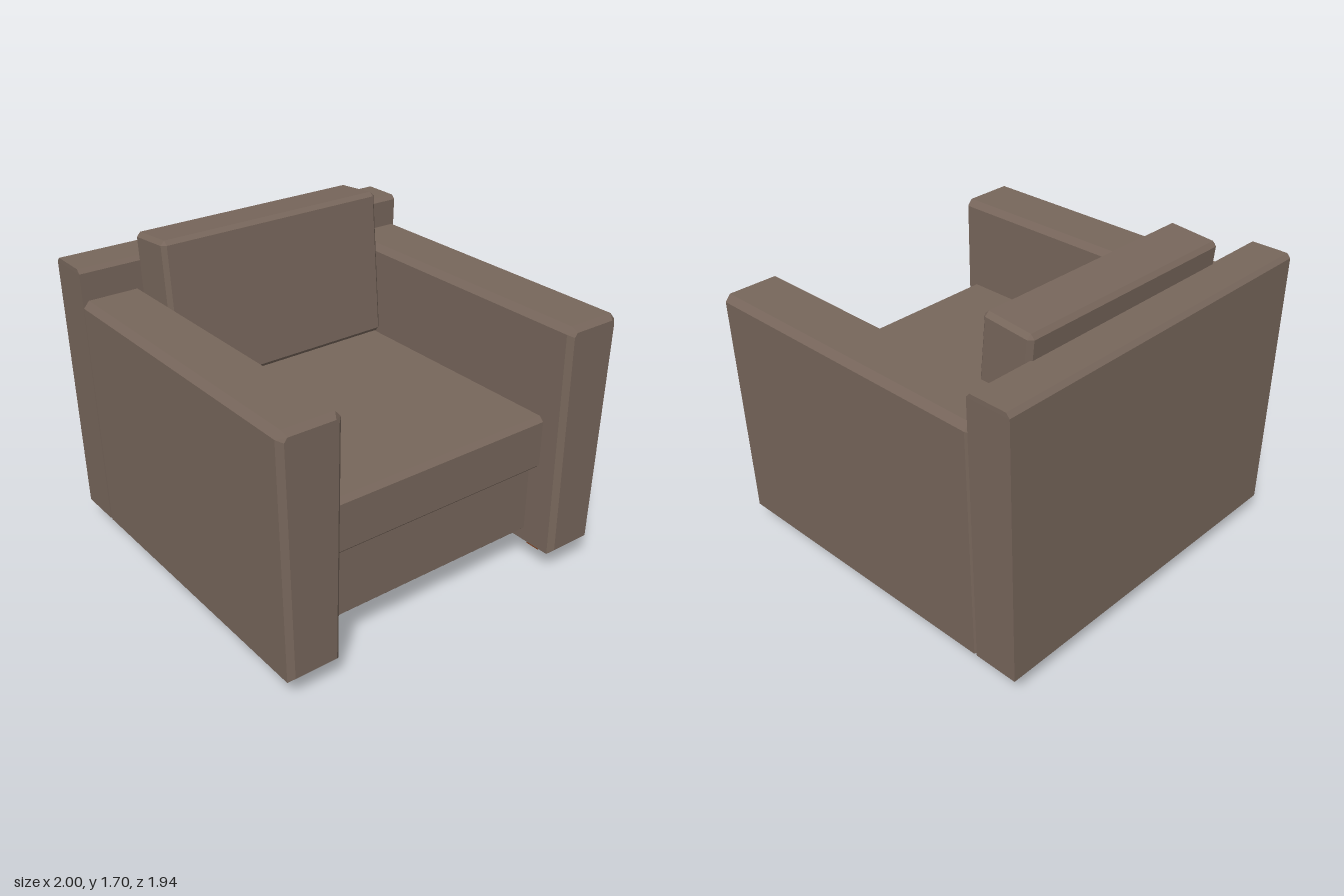
import * as THREE from 'three';
import { ConvexGeometry } from 'three/addons/geometries/ConvexGeometry.js';

const V = (x, y, z) => new THREE.Vector3(x, y, z);

// Box with every edge chamfered: each corner becomes three points
function chamferBox(w, h, d, c) {
  const pts = [];
  for (const sx of [-1, 1]) for (const sy of [-1, 1]) for (const sz of [-1, 1]) {
    const x = w / 2, y = h / 2, z = d / 2;
    pts.push(V(sx * x, sy * (y - c), sz * (z - c)));
    pts.push(V(sx * (x - c), sy * y, sz * (z - c)));
    pts.push(V(sx * (x - c), sy * (y - c), sz * z));
  }
  return new ConvexGeometry(pts);
}

// Arm section in x/y, shrunk by an inset; the outer side flares toward the top
function armRing(side, z, inset) {
  const c = 0.03, i = inset;
  return [
    [0.68 + i, 0.11 + i], [0.965 - i, 0.11 + i],
    [1.0 - i, 1.36 - i * 0.5], [0.97 - i * 0.5, 1.395 - i],
    [0.67 + c + i * 0.5, 1.395 - i], [0.67 + i, 1.36 - i * 0.5],
  ].map(([x, y]) => V(side * x, y, z));
}

export function createModel() {
  const model = new THREE.Group();
  model.name = 'armchair';
  const fabric = new THREE.MeshStandardMaterial({ color: 0x77665b });
  fabric.name = 'brown fabric';
  const wood = new THREE.MeshStandardMaterial({ color: 0x88421f });
  wood.name = 'reddish wood';

  const add = (name, geometry, material, x = 0, y = 0, z = 0) => {
    const mesh = new THREE.Mesh(geometry, material);
    mesh.name = name;
    mesh.position.set(x, y, z);
    model.add(mesh);
    return mesh;
  };

  // Arms, bevelled at the front and slightly at the back
  for (const side of [-1, 1]) {
    const rings = [[0.97, 0.027], [0.943, 0], [-0.715, 0], [-0.727, 0.012]];
    const pts = rings.flatMap(([z, inset]) => armRing(side, z, inset));
    add(side > 0 ? 'leftArm' : 'rightArm', new ConvexGeometry(pts), fabric);
  }

  // Back panel: bevelled top edges, sides narrowing toward the floor
  const backProfile = [[-0.73, 0.11], [-0.97, 0.11], [-0.97, 1.535], [-0.95, 1.557], [-0.75, 1.557], [-0.73, 1.535]];
  const backPts = backProfile.flatMap(([z, y]) => {
    const x = Math.min(1, 0.965 + 0.035 * (y - 0.11) / 1.25);
    return [V(x, y, z), V(-x, y, z)];
  });
  add('backPanel', new ConvexGeometry(backPts), fabric);

  // Seat base, raised above the underside of the arms
  add('seatBase', chamferBox(1.345, 0.47, 1.52, 0.012), fabric, 0, 0.425, 0.03);

  // Seat cushion, overhanging the base
  add('seatCushion', chamferBox(1.325, 0.295, 1.6, 0.025), fabric, 0, 0.7525, 0.075);

  // Back cushion, leaning on the back panel
  const cushion = add('backCushion', chamferBox(1.325, 0.8, 0.285, 0.022), fabric, 0, 1.29, -0.593);
  cushion.rotation.set(-0.085, 0, 0.004);

  // Tapered square legs
  const leg = new THREE.CylinderGeometry(Math.SQRT1_2, 0.74 * Math.SQRT1_2, 0.12, 4).toNonIndexed();
  leg.rotateY(Math.PI / 4);
  leg.scale(0.088, 1, 0.112);
  leg.computeVertexNormals();
  for (const x of [-0.828, 0.828]) for (const z of [0.74, -0.605]) {
    add((z > 0 ? 'front' : 'back') + (x > 0 ? 'Left' : 'Right') + 'Leg', leg, wood, x, 0.06, z);
  }
  return model;
}
